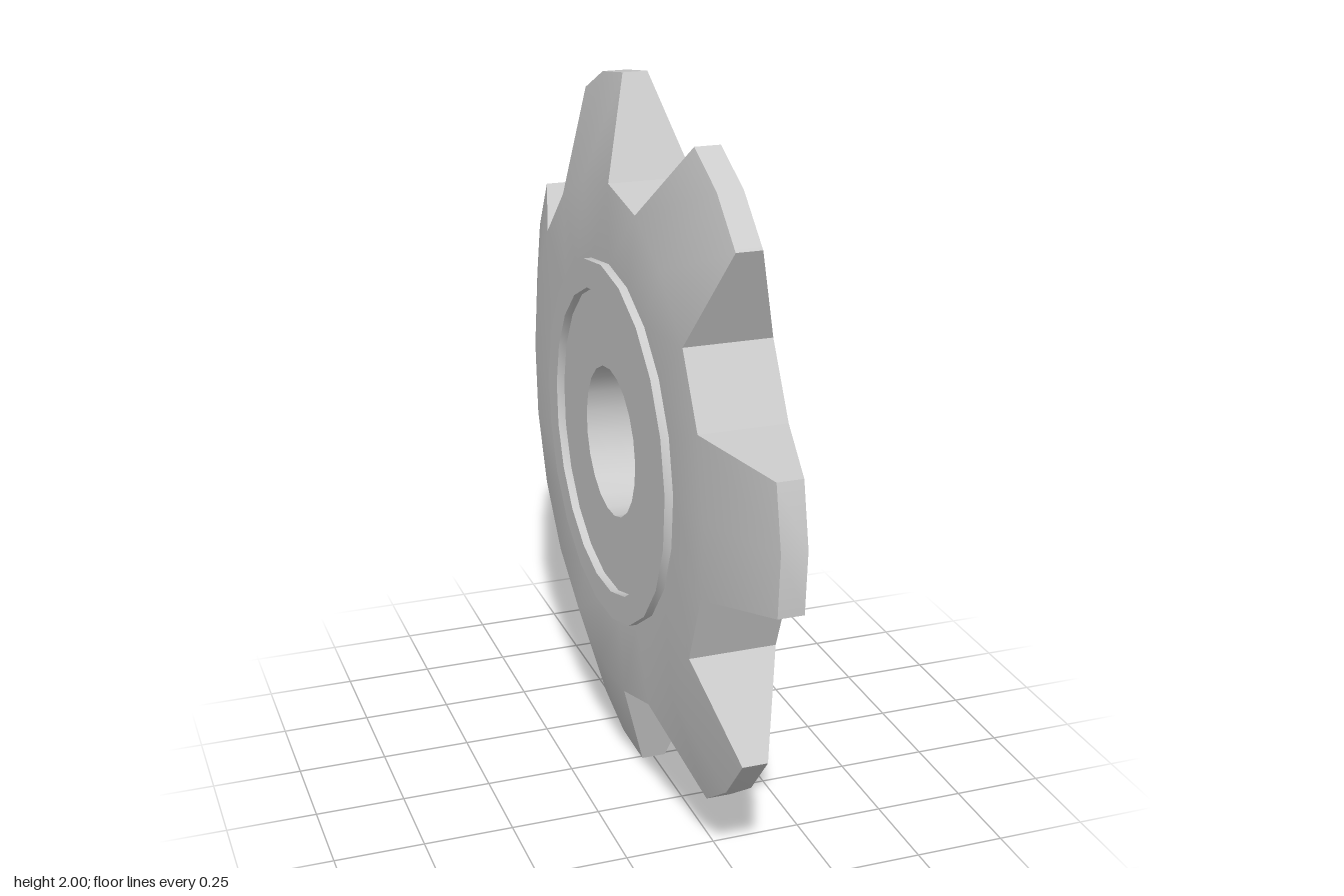
import * as THREE from 'three';
import { toCreasedNormals } from 'three/addons/utils/BufferGeometryUtils.js';

const TEETH = 7, COLS = TEETH * 3, STEP = Math.PI * 2 / COLS;
const HALF = 0.12, TIP_HALF = 0.035, ROOT = 0.73, BORE = 0.212;
const CY = 1.006, CZ = -0.011;

// Point on the wheel: angle runs from the top towards -z, the axle is x
const polar = (a, r, x) => [x, CY + r * Math.cos(a), CZ - r * Math.sin(a)];
const flip = ([x, y, z]) => [-x, y, z];

export function createModel() {
  const pos = [];
  const quad = (a, b, c, d) => pos.push(...a, ...b, ...c, ...a, ...c, ...d);
  // A quad and its mirror image on the other side of the wheel
  const both = (a, b, c, d) => {
    quad(a, b, c, d);
    quad(flip(d), flip(c), flip(b), flip(a));
  };

  // Side profile from bore to tooth roots, with the raised hub ring
  const profile = [[BORE, HALF], [0.43, HALF], [0.43, 0.143], [0.51, 0.143], [0.51, HALF], [ROOT, HALF]];
  for (let j = 0; j < COLS; j++) {
    const a = j * STEP, b = a + STEP;
    for (let i = 0; i < profile.length - 1; i++) {
      const [p, q] = [profile[i], profile[i + 1]];
      both(polar(a, ...p), polar(b, ...p), polar(b, ...q), polar(a, ...q));
    }
    // Bore wall
    quad(polar(a, BORE, -HALF), polar(b, BORE, -HALF), polar(b, BORE, HALF), polar(a, BORE, HALF));
  }

  // Teeth, thinning towards the tip
  const tipStep = 0.171;
  for (let t = 0; t < TEETH; t++) {
    const mid = (t * 3 + 1) * STEP;
    const root = [-1, 0, 1, 2].map(k => polar(mid + k * STEP, ROOT, HALF));
    const tip = [-1, 0, 1].map(k => polar(mid + k * tipStep, k ? 1.004 : 1.013, TIP_HALF));
    for (let k = 0; k < 2; k++) both(root[k], root[k + 1], tip[k + 1], tip[k]);
    // Rim: flank, two tip facets, flank, valley floor
    const rim = [root[0], ...tip, root[2], root[3]];
    for (let k = 0; k < rim.length - 1; k++) {
      quad(rim[k], rim[k + 1], flip(rim[k + 1]), flip(rim[k]));
    }
  }

  const geometry = new THREE.BufferGeometry();
  geometry.setAttribute('position', new THREE.Float32BufferAttribute(pos, 3));
  const wheel = new THREE.Mesh(
    toCreasedNormals(geometry, 0.4),
    new THREE.MeshStandardMaterial({ color: 0xcccccc })
  );
  wheel.name = 'sprocketWheel';

  const group = new THREE.Group();
  group.name = 'sprocket';
  group.add(wheel);
  return group;
}
